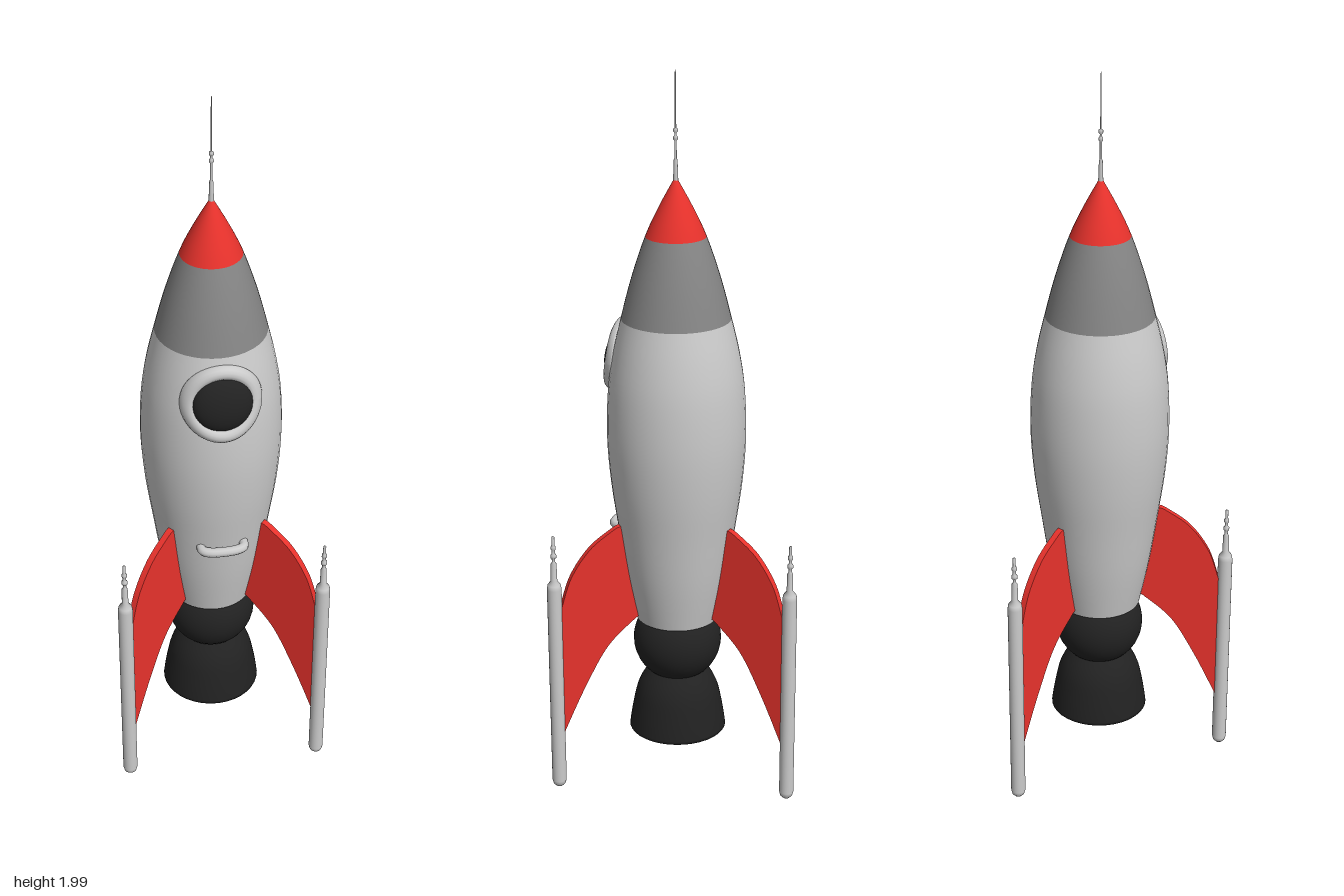
import * as THREE from 'three';

const GREY = 0xcccccc, DARK = 0x858585, BLACK = 0x222222, RED = 0xe8322c;
const AXIS_Z = 0.06; // the hull axis sits slightly forward of the origin

const materials = {};
const material = (color) => (materials[color] ??=
  new THREE.MeshStandardMaterial({ color, side: THREE.DoubleSide }));

function mesh(name, geometry, color, parent) {
  const m = new THREE.Mesh(geometry, material(color));
  m.name = name;
  parent.add(m);
  return m;
}

const vectors = (pairs) => pairs.map(([x, y]) => new THREE.Vector2(x, y));
const lathe = (pairs, segments = 40) => new THREE.LatheGeometry(vectors(pairs), segments);

// Smooth hull profile, [radius, height]
const HULL = [[0.113, 0.49], [0.139, 0.62], [0.16, 0.76], [0.178, 0.89], [0.187, 1.02], [0.183, 1.15],
  [0.169, 1.25], [0.146, 1.35], [0.117, 1.46], [0.08, 1.57], [0.043, 1.65], [0.004, 1.722]];
const STEPS = 4;
const hullPoints = new THREE.SplineCurve(vectors(HULL)).getPoints((HULL.length - 1) * STEPS);
const hullSection = (from, to) =>
  new THREE.LatheGeometry(hullPoints.slice(from * STEPS, to * STEPS + 1), 40);

function buildHull(parent) {
  mesh('hull', hullSection(0, 7), GREY, parent);
  mesh('upperHull', hullSection(7, 9), DARK, parent);
  mesh('noseCone', hullSection(9, 11), RED, parent);
  mesh('hullBase', lathe([[0, 0.49], [0.113, 0.49]]), GREY, parent);
  // Thin mast with two beads
  mesh('noseAntenna', lathe([[0.007, 1.71], [0.005, 1.77], [0.003, 1.775], [0.003, 1.82], [0.006, 1.823],
    [0.006, 1.83], [0.003, 1.833], [0.003, 1.84], [0.006, 1.843], [0.006, 1.85], [0.002, 1.853],
    [0.0015, 1.994], [0, 2]], 10), GREY, parent);
}

function buildEngine(parent) {
  const ball = mesh('engineBall', new THREE.SphereGeometry(0.122, 36, 20), BLACK, parent);
  ball.position.y = 0.42;
  const bell = new THREE.SplineCurve(vectors([[0.078, 0.33], [0.099, 0.3], [0.114, 0.265],
    [0.124, 0.22], [0.131, 0.18], [0.135, 0.15]])).getPoints(15);
  // Outer skin down to the rim, then back up the hollow inside
  const inner = bell.map((p) => new THREE.Vector2(p.x - 0.008, p.y)).reverse();
  const profile = [...bell, ...inner, new THREE.Vector2(0, 0.33)].reverse();
  mesh('engineBell', new THREE.LatheGeometry(profile, 36), BLACK, parent);
}

function buildPorthole(parent) {
  const porthole = new THREE.Group();
  porthole.name = 'porthole';
  porthole.position.set(0, 1.228, 0.172);
  porthole.rotation.x = -0.17;
  parent.add(porthole);
  // Bend the ring round the hull
  const ring = new THREE.TorusGeometry(0.088, 0.019, 14, 48);
  const p = ring.attributes.position;
  for (let i = 0; i < p.count; i++) p.setZ(i, p.getZ(i) - p.getX(i) ** 2 / 0.36);
  ring.computeVertexNormals();
  mesh('portholeRing', ring, GREY, porthole);
  const glass = mesh('portholeGlass', new THREE.SphereGeometry(0.078, 32, 16), BLACK, porthole);
  glass.scale.z = 0.48;
  glass.position.z = -0.006;
}

function buildHandle(parent) {
  const path = new THREE.CatmullRomCurve3([[-0.052, 0.135], [-0.05, 0.164], [-0.03, 0.175],
    [0.04, 0.175], [0.06, 0.164], [0.062, 0.135]].map(([x, z]) => new THREE.Vector3(x, 0.748, z)));
  mesh('handle', new THREE.TubeGeometry(path, 30, 0.013, 10), GREY, parent);
}

// Swept fin drawn with x as distance from the hull axis
function finGeometry() {
  const shape = new THREE.Shape();
  shape.moveTo(0.1, 0.51);
  shape.lineTo(0.13, 0.76);
  shape.lineTo(0.163, 0.778);
  shape.splineThru(vectors([[0.185, 0.768], [0.25, 0.72], [0.303, 0.645], [0.332, 0.56]]));
  shape.lineTo(0.345, 0.53);
  shape.lineTo(0.345, 0.17);
  shape.lineTo(0.332, 0.18);
  shape.splineThru(vectors([[0.27, 0.31], [0.203, 0.425], [0.122, 0.5]]));
  shape.closePath();
  const depth = 0.018;
  return new THREE.ExtrudeGeometry(shape, { depth, bevelEnabled: false, curveSegments: 18 })
    .translate(0, 0, -depth / 2);
}

// Rounded landing pod with a small beaded spike on top
const podGeometry = () => lathe([[0, 0.006], [0.009, 0.008], [0.017, 0.016], [0.02, 0.028], [0.02, 0.615],
  [0.018, 0.628], [0.009, 0.64], [0.008, 0.69], [0.0045, 0.695], [0.0045, 0.705], [0.008, 0.708],
  [0.008, 0.716], [0.0045, 0.72], [0.0045, 0.73], [0.007, 0.733], [0.007, 0.74],
  [0.004, 0.744], [0.004, 0.768], [0, 0.772]], 20);

function buildLegs(parent) {
  const fin = finGeometry(), pod = podGeometry();
  const legs = [['left', 0.267, 0.226, 0], ['right', -0.27, 0.223, 0.008], ['back', -0.01, -0.35, 0]];
  for (const [side, x, z, lift] of legs) {
    const leg = new THREE.Group();
    leg.name = side + 'Leg';
    leg.rotation.y = Math.atan2(-z, x);
    leg.position.y = lift;
    parent.add(leg);
    mesh(side + 'Fin', fin, RED, leg);
    mesh(side + 'Pod', pod, GREY, leg).position.x = Math.hypot(x, z);
  }
}

export function createModel() {
  const model = new THREE.Group();
  model.name = 'rocket';
  const body = new THREE.Group();
  body.name = 'rocketBody';
  body.position.z = AXIS_Z;
  model.add(body);
  buildHull(body);
  buildEngine(body);
  buildPorthole(body);
  buildHandle(body);
  buildLegs(body);
  return model;
}
